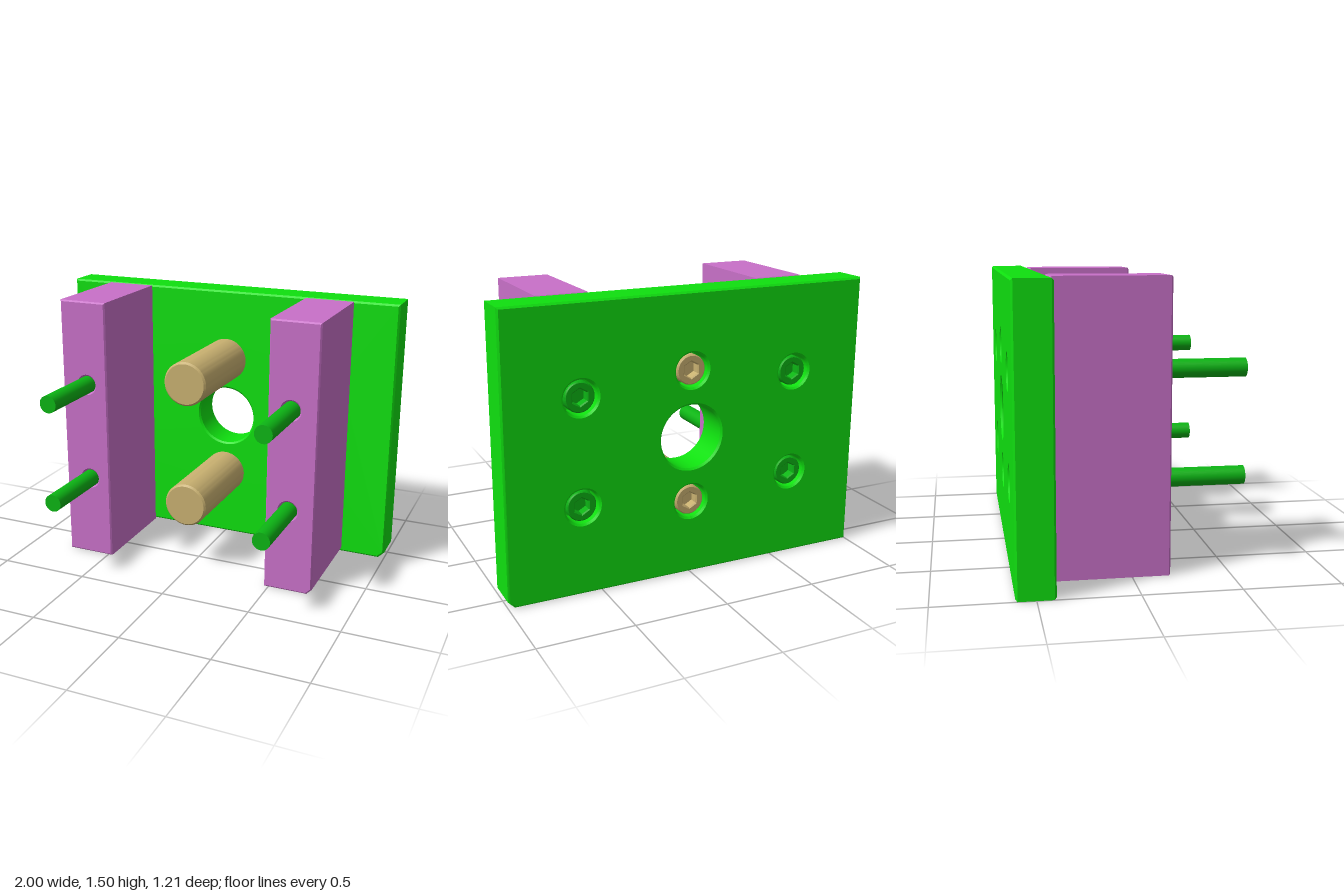
import * as THREE from 'three';
import { toCreasedNormals } from 'three/addons/utils/BufferGeometryUtils.js';

const material = (color) => new THREE.MeshStandardMaterial({ color });
const PLATE_BACK = -0.6, PLATE_FRONT = -0.405, BLOCK_BACK = -0.4, BLOCK_FRONT = 0.195;
const BORE = 0.09, CLEARANCE = 0.055, BORE_DEPTH = 0.12;
const BOLT_X = 0.6, BOLT_YS = [0.47, 1.03], PILLAR_YS = [0.4, 1.1];

// Rectangle, with the lower +x corner optionally cut off
function rectangle(x0, x1, y0, y1, cut = 0) {
  const s = new THREE.Shape();
  s.moveTo(x0, y0);
  s.lineTo(x1 - cut, y0);
  if (cut) s.lineTo(x1, y0 + cut);
  s.lineTo(x1, y1);
  s.lineTo(x0, y1);
  s.closePath();
  return s;
}

const circle = (x, y, r, Type = THREE.Shape) => new Type().absarc(x, y, r, 0, Math.PI * 2, false);
const hole = (x, y, r) => circle(x, y, r, THREE.Path);

// Solid between z0 and z1 with a small chamfer on its outline and holes
function prism(shape, z0, z1, bevel = 0.01) {
  const geometry = new THREE.ExtrudeGeometry(shape, {
    depth: z1 - z0 - 2 * bevel, curveSegments: 40, bevelEnabled: bevel > 0,
    bevelThickness: bevel, bevelSize: bevel, bevelOffset: -bevel, bevelSegments: 1,
  });
  geometry.translate(0, 0, z0 + bevel);
  return toCreasedNormals(geometry, 0.6);
}

export function createModel() {
  const model = new THREE.Group();
  const green = material(0x0fe00f), darkGreen = material(0x0cb414);
  const pink = material(0xc870c8), tan = material(0xc8b070);
  const linerGreen = green.clone();
  linerGreen.side = THREE.DoubleSide;

  const add = (name, geometry, mat, parent = model) => {
    const mesh = new THREE.Mesh(geometry, mat);
    mesh.name = name;
    parent.add(mesh);
    return mesh;
  };

  // Back plate with the central opening and screw bores
  const plate = rectangle(-1, 1, 0, 1.5, 0.035);
  plate.holes.push(hole(0, 0.75, 0.17));
  const screwSpots = PILLAR_YS.map((y) => [0, y]);
  for (const x of [-BOLT_X, BOLT_X]) for (const y of BOLT_YS) screwSpots.push([x, y]);
  for (const [x, y] of screwSpots) plate.holes.push(hole(x, y, BORE));
  add('backPlate', prism(plate, PLATE_BACK, PLATE_FRONT), green);

  // Stepped floor inside each screw bore
  const step = PLATE_BACK + BORE_DEPTH;
  const linerProfile = [[BORE, step], [CLEARANCE, step], [CLEARANCE, PLATE_FRONT], [BORE + 0.01, PLATE_FRONT]]
    .map(([r, z]) => new THREE.Vector2(r, z));
  const liner = toCreasedNormals(new THREE.LatheGeometry(linerProfile, 40).rotateX(Math.PI / 2), 0.6);
  for (const [x, y] of screwSpots) add('boreStep', liner, linerGreen).position.set(x, y, 0);

  // Upright side blocks, drilled for the long bolts
  for (const [name, x0, x1, cut] of [['rightBlock', -0.75, -0.475, 0], ['leftBlock', 0.475, 0.748, 0.03]]) {
    const block = rectangle(x0, x1, 0, 1.5, cut);
    for (const y of BOLT_YS) block.holes.push(hole(Math.sign(x0) * BOLT_X, y, CLEARANCE - 0.005));
    add(name, prism(block, BLOCK_BACK, BLOCK_FRONT, 0.008), pink);
  }

  // Round support pillars
  const pillar = prism(circle(0, 0, 0.122), PLATE_FRONT, BLOCK_FRONT);
  for (const y of PILLAR_YS) add('pillar', pillar, tan).position.set(0, y, 0);

  // Socket-head screws: hexagonal recess in the head, shank forming its floor
  const headShape = circle(0, 0, 0.078);
  const hex = [0, 1, 2, 3, 4, 5].map((i) => {
    const a = Math.PI / 6 + i * Math.PI / 3;
    return new THREE.Vector2(0.043 * Math.cos(a), 0.043 * Math.sin(a));
  });
  headShape.holes.push(new THREE.Path(hex));
  const head = prism(headShape, PLATE_BACK + 0.015, step, 0.006);

  function screw(name, x, y, tip, mat) {
    const group = new THREE.Group();
    group.name = name;
    group.position.set(x, y, 0);
    add('screwHead', head, mat, group);
    const start = PLATE_BACK + 0.065;
    const shank = new THREE.CylinderGeometry(0.048, 0.048, tip - start, 40);
    shank.rotateX(Math.PI / 2).translate(0, 0, (tip + start) / 2);
    add('screwShank', shank, mat, group);
    model.add(group);
  }
  for (const x of [-BOLT_X, BOLT_X]) for (const y of BOLT_YS) screw('longBolt', x, y, 0.605, darkGreen);
  for (const y of PILLAR_YS) screw('pillarScrew', 0, y, -0.2, tan);

  return model;
}
